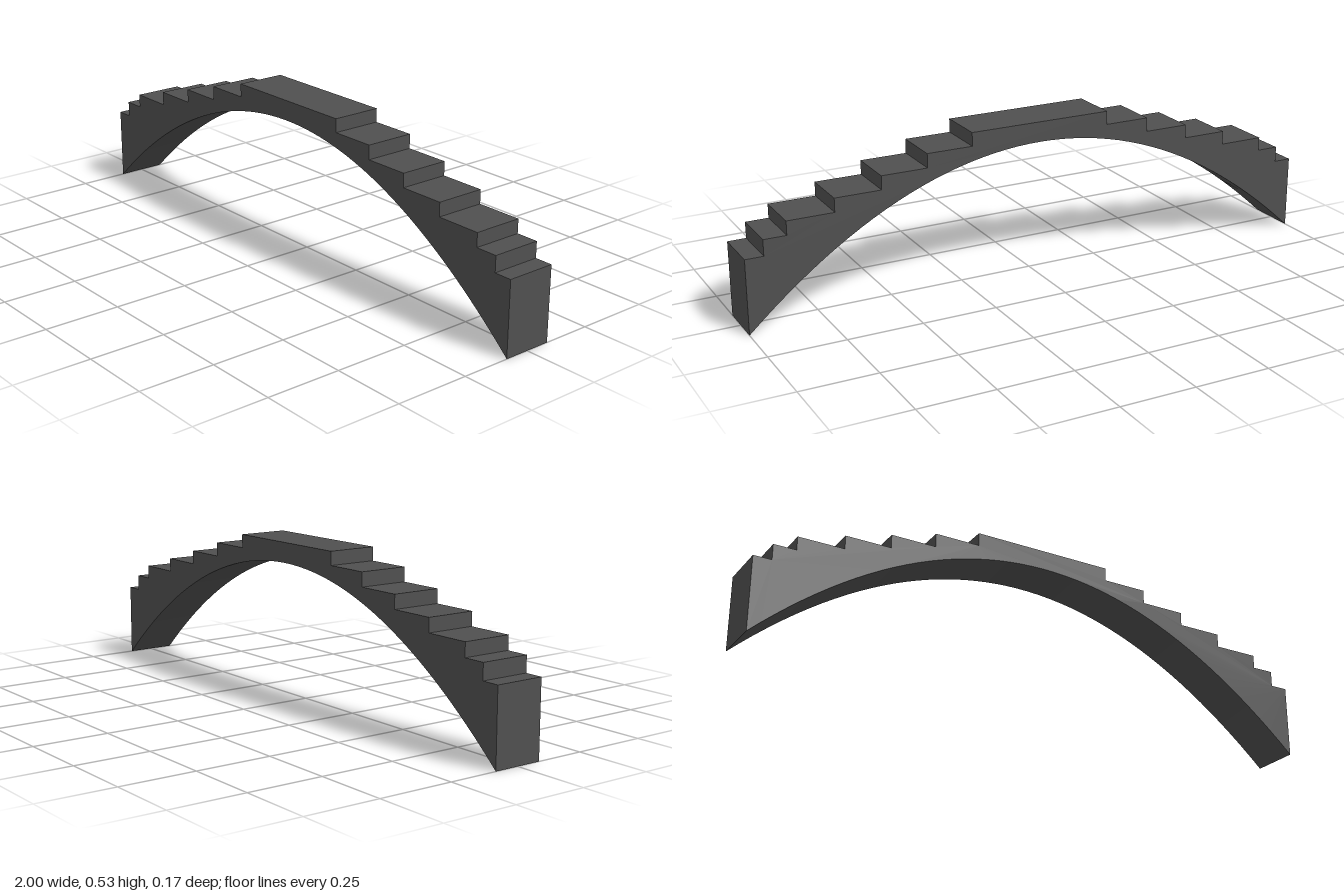
import * as THREE from 'three';
import { toCreasedNormals } from 'three/addons/utils/BufferGeometryUtils.js';

// Half of the stepped top: outer x of each tread and its height, centre outwards
const STEPS = [
  [0.245, 0.53], [0.4, 0.485], [0.555, 0.438], [0.71, 0.392],
  [0.865, 0.346], [0.94, 0.3], [1, 0.247],
];
const WIDTH = 0.168;
const ARCH_RISE = 0.463;

export function createModel() {
  const group = new THREE.Group();
  group.name = 'steppedArchBridge';
  const stone = new THREE.MeshStandardMaterial({ color: 0x505050 });
  stone.name = 'dark grey stone';

  // Right-hand flight from the foot up to the crown, then mirrored down the other side
  const flight = [];
  let inner = 0;
  for (const [outer, y] of STEPS) {
    if (inner > 0) flight.push([inner, y]);
    flight.push([outer, y]);
    inner = outer;
  }
  const shape = new THREE.Shape();
  shape.moveTo(1, 0);
  for (const [x, y] of [...flight].reverse()) shape.lineTo(x, y);
  for (const [x, y] of flight) shape.lineTo(-x, y);
  shape.lineTo(-1, 0);

  // Curved underside
  shape.quadraticCurveTo(0, 2 * ARCH_RISE, 1, 0);

  const geometry = new THREE.ExtrudeGeometry(shape, {
    depth: WIDTH, bevelEnabled: false, curveSegments: 48,
  });
  geometry.translate(0, 0, -WIDTH / 2);

  const bridge = new THREE.Mesh(toCreasedNormals(geometry, Math.PI / 6), stone);
  bridge.name = 'steppedArch';
  group.add(bridge);
  return group;
}
